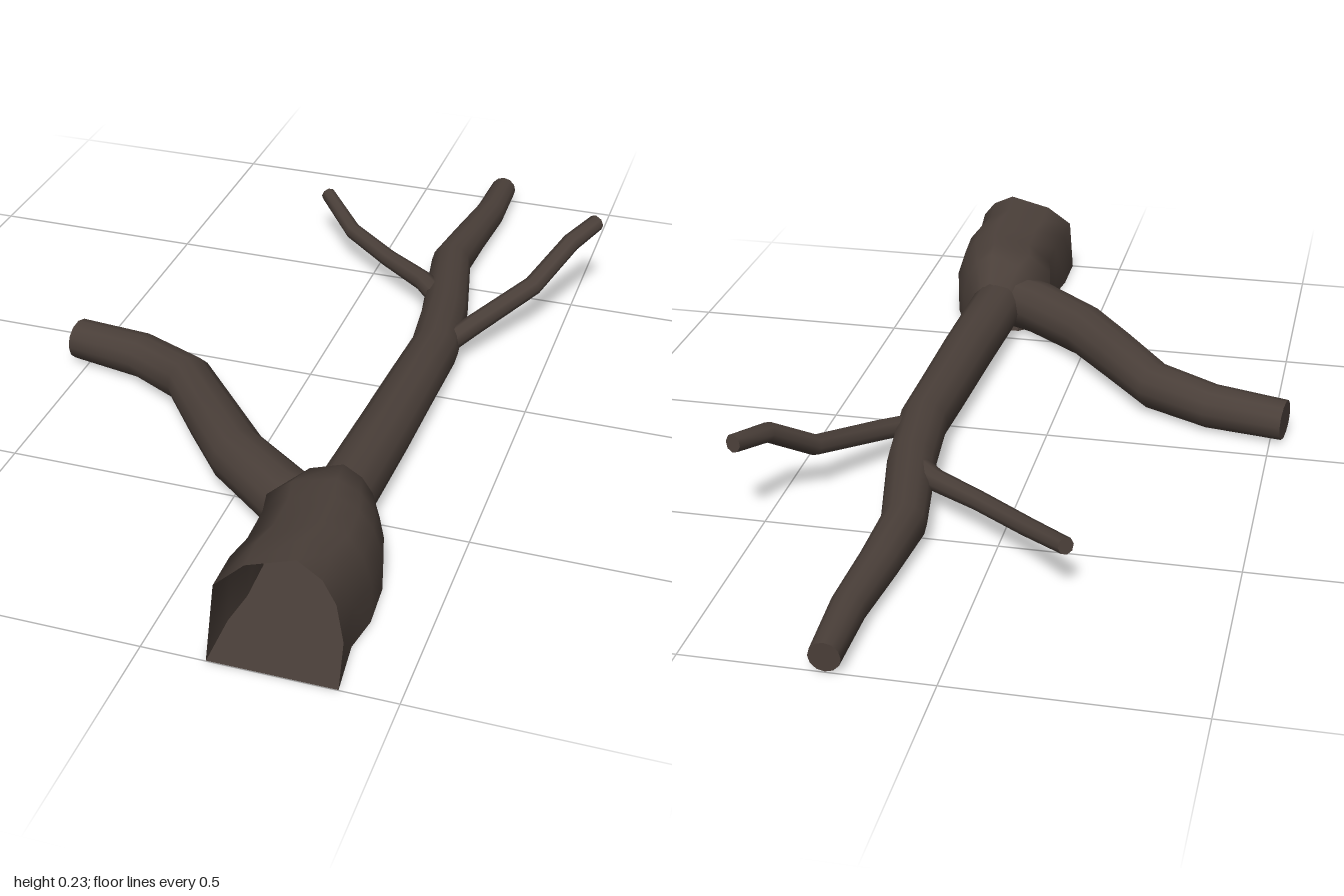
import * as THREE from 'three';

const bark = new THREE.MeshStandardMaterial({ color: 0x4a3f39, side: THREE.DoubleSide });
bark.name = 'bark';

// Skin a list of rings (arrays of Vector3); closed joins each ring's last point to its first
function skin(name, rings, closed) {
  const n = rings[0].length;
  const index = [];
  for (let i = 0; i < rings.length - 1; i++) {
    for (let j = 0; j < (closed ? n : n - 1); j++) {
      const k = (j + 1) % n;
      const a = i * n + j, b = i * n + k, c = a + n, d = b + n;
      index.push(a, c, b, b, c, d);
    }
  }
  const geo = new THREE.BufferGeometry().setFromPoints(rings.flat());
  geo.setIndex(index);
  geo.computeVertexNormals();
  const mesh = new THREE.Mesh(geo, bark);
  mesh.name = name;
  return mesh;
}

// Flat end cap on a ring
function cap(name, ring) {
  const index = [];
  for (let j = 1; j < ring.length - 1; j++) index.push(0, j + 1, j);
  const geo = new THREE.BufferGeometry().setFromPoints(ring);
  geo.setIndex(index);
  geo.computeVertexNormals();
  const mesh = new THREE.Mesh(geo, bark);
  mesh.name = name;
  return mesh;
}

// Tapered limb through stations [x, y, z, radius]
function limb(name, stations, sides) {
  const pts = stations.map(([x, y, z]) => new THREE.Vector3(x, y, z));
  const up = new THREE.Vector3(0, 1, 0);
  const rings = pts.map((p, i) => {
    const before = pts[Math.max(i - 1, 0)], after = pts[Math.min(i + 1, pts.length - 1)];
    const t = after.clone().sub(before).normalize();
    const side = t.clone().cross(up).normalize();
    const rise = side.clone().cross(t);
    const r = stations[i][3];
    return Array.from({ length: sides }, (_, j) => {
      const a = (j / sides) * Math.PI * 2;
      return p.clone().addScaledVector(side, Math.cos(a) * r).addScaledVector(rise, Math.sin(a) * r);
    });
  });
  const group = new THREE.Group();
  group.name = name;
  group.add(skin(name + 'Bark', rings, true), cap(name + 'Tip', rings[rings.length - 1]));
  return group;
}

// Hollow, flat-bottomed trunk with a slanted open end
function trunk() {
  const profile = [[1, 0], [1, 0.4], [0.92, 0.7], [0.8, 0.88], [0.6, 1], [0.22, 0.87], [0, 0.65], [0, 0]];
  // left x, right x, height, z at the ground, z at the top
  const stations = [
    [0.13, 0.385, 0.216, 1.0, 0.93],
    [0.128, 0.372, 0.21, 0.88, 0.85],
    [0.138, 0.385, 0.205, 0.8, 0.79],
    [0.135, 0.378, 0.2, 0.7, 0.7],
    [0.122, 0.362, 0.195, 0.64, 0.64],
    [0.15, 0.335, 0.188, 0.575, 0.58],
    [0.185, 0.3, 0.13, 0.545, 0.53],
  ];
  const rings = stations.map(([x0, x1, h, z0, z1]) =>
    profile.map(([u, v]) => new THREE.Vector3(x0 + (x1 - x0) * u, h * v, z0 + (z1 - z0) * v)));
  const floor = rings.map((r) => [r[r.length - 1].clone(), r[0].clone()]);
  const group = new THREE.Group();
  group.name = 'trunk';
  group.add(skin('trunkBark', rings, false), skin('trunkUnderside', floor, false));
  return group;
}

export function createModel() {
  const model = new THREE.Group();
  model.name = 'fallenTree';
  model.add(trunk());

  // Long limb lying on the ground
  model.add(limb('mainLimb', [
    [0.24, 0.064, 0.56, 0.064], [0.251, 0.061, 0.27, 0.061], [0.257, 0.058, 0.05, 0.058],
    [0.262, 0.056, -0.1, 0.056], [0.24, 0.053, -0.28, 0.054], [0.19, 0.048, -0.53, 0.048],
    [0.2, 0.042, -0.68, 0.042], [0.214, 0.037, -0.84, 0.037], [0.212, 0.032, -1.0, 0.032],
  ], 12));

  // Heavy side branch
  model.add(limb('sideBranch', [
    [0.2, 0.066, 0.59, 0.066], [0.13, 0.065, 0.555, 0.065], [-0.01, 0.062, 0.445, 0.062],
    [-0.11, 0.059, 0.325, 0.059], [-0.22, 0.055, 0.19, 0.055], [-0.36, 0.051, 0.12, 0.051],
    [-0.53, 0.047, 0.09, 0.046],
  ], 12));

  // Thin upper twigs
  model.add(limb('leftTwig', [
    [0.28, 0.06, -0.12, 0.024], [0.33, 0.08, -0.2, 0.024], [0.43, 0.115, -0.36, 0.023],
    [0.495, 0.19, -0.46, 0.022], [0.537, 0.205, -0.55, 0.02],
  ], 8));
  model.add(limb('rightTwig', [
    [0.22, 0.065, -0.32, 0.028], [0.16, 0.07, -0.38, 0.024], [0.05, 0.075, -0.455, 0.021],
    [-0.07, 0.083, -0.55, 0.02], [-0.172, 0.116, -0.663, 0.018],
  ], 8));
  return model;
}
